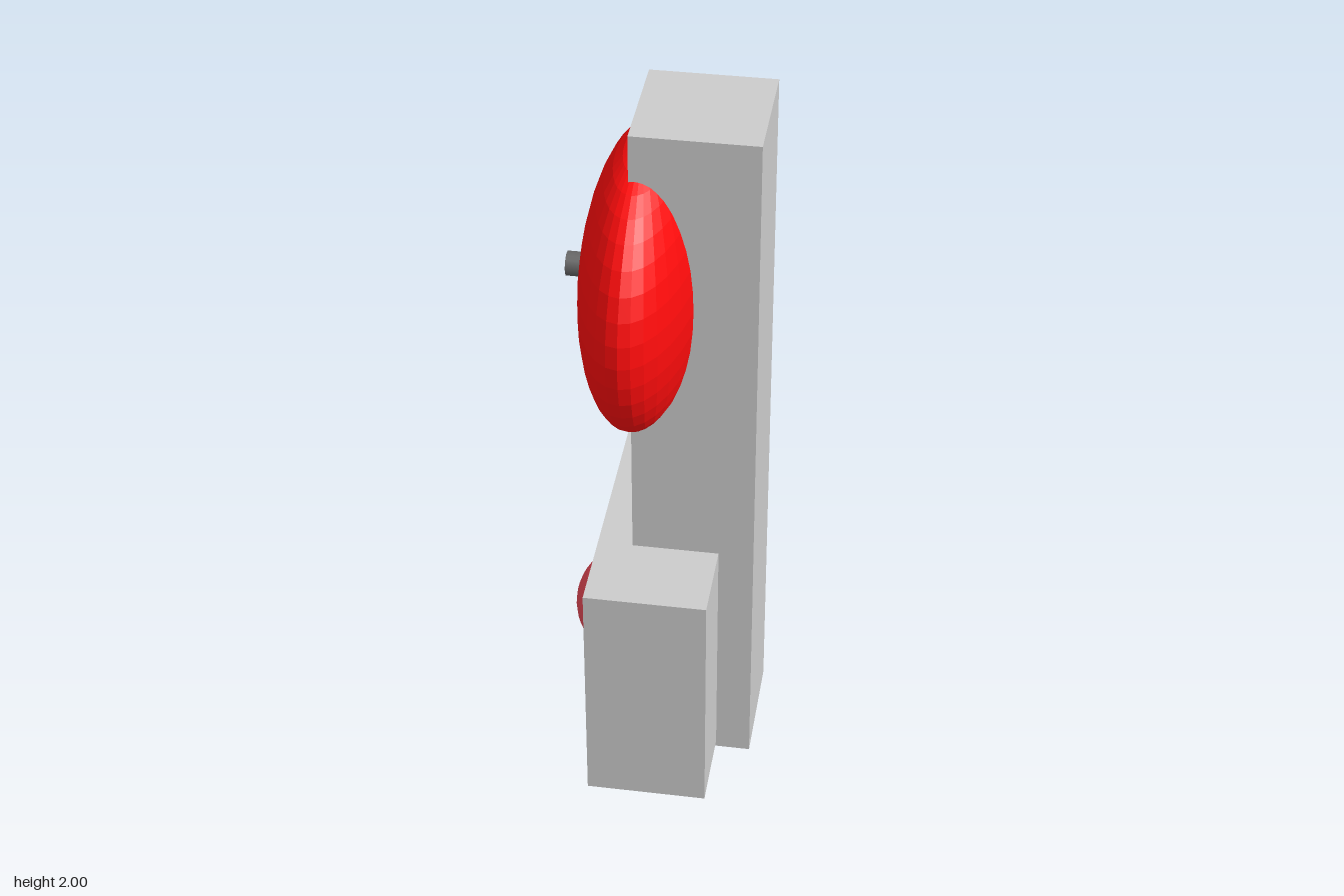
import * as THREE from 'three';

const material = (color, flatShading = false) => new THREE.MeshStandardMaterial({ color, flatShading });

export function createModel() {
  const model = new THREE.Group();
  const grey = material(0xcccccc);
  const facetedGrey = material(0xcccccc, true);

  const add = (name, geometry, mat, x, y, z) => {
    const mesh = new THREE.Mesh(geometry, mat);
    mesh.name = name;
    mesh.position.set(x, y, z);
    model.add(mesh);
    return mesh;
  };

  // Tall post and the housing it passes through
  add('post', new THREE.BoxGeometry(0.33, 2, 0.33), grey, 0.095, 1, 0.16);
  add('housing', new THREE.BoxGeometry(0.33, 0.695, 0.795), grey, 0, 0.368, 0.161);

  // Flattened bell with its central pin
  const bell = add('bell', new THREE.SphereGeometry(1, 32, 20), material(0xff0c0c, true), -0.055, 1.5, 0.168);
  bell.scale.set(0.16, 0.4, 0.434);
  const pin = add('bellPin', new THREE.CylinderGeometry(0.033, 0.033, 0.12, 16), material(0x666666), -0.202, 1.503, 0.157);
  pin.rotation.z = Math.PI / 2;

  // Domed button on the side of the housing
  add('button', new THREE.SphereGeometry(0.166, 32, 20), material(0xe54855, true), -0.094, 0.368, 0.157);

  // Slanted lever with a ball knob
  const foot = new THREE.Vector3(-0.04, 0.6, -0.085);
  const top = new THREE.Vector3(-0.037, 1.31, -0.487);
  const rod = add('leverRod', new THREE.CylinderGeometry(0.05, 0.05, foot.distanceTo(top), 32), grey, 0, 0, 0);
  rod.position.copy(foot).lerp(top, 0.5);
  rod.quaternion.setFromUnitVectors(new THREE.Vector3(0, 1, 0), top.clone().sub(foot).normalize());
  add('leverKnob', new THREE.SphereGeometry(0.114, 32, 20), facetedGrey, top.x, top.y, top.z);

  return model;
}
